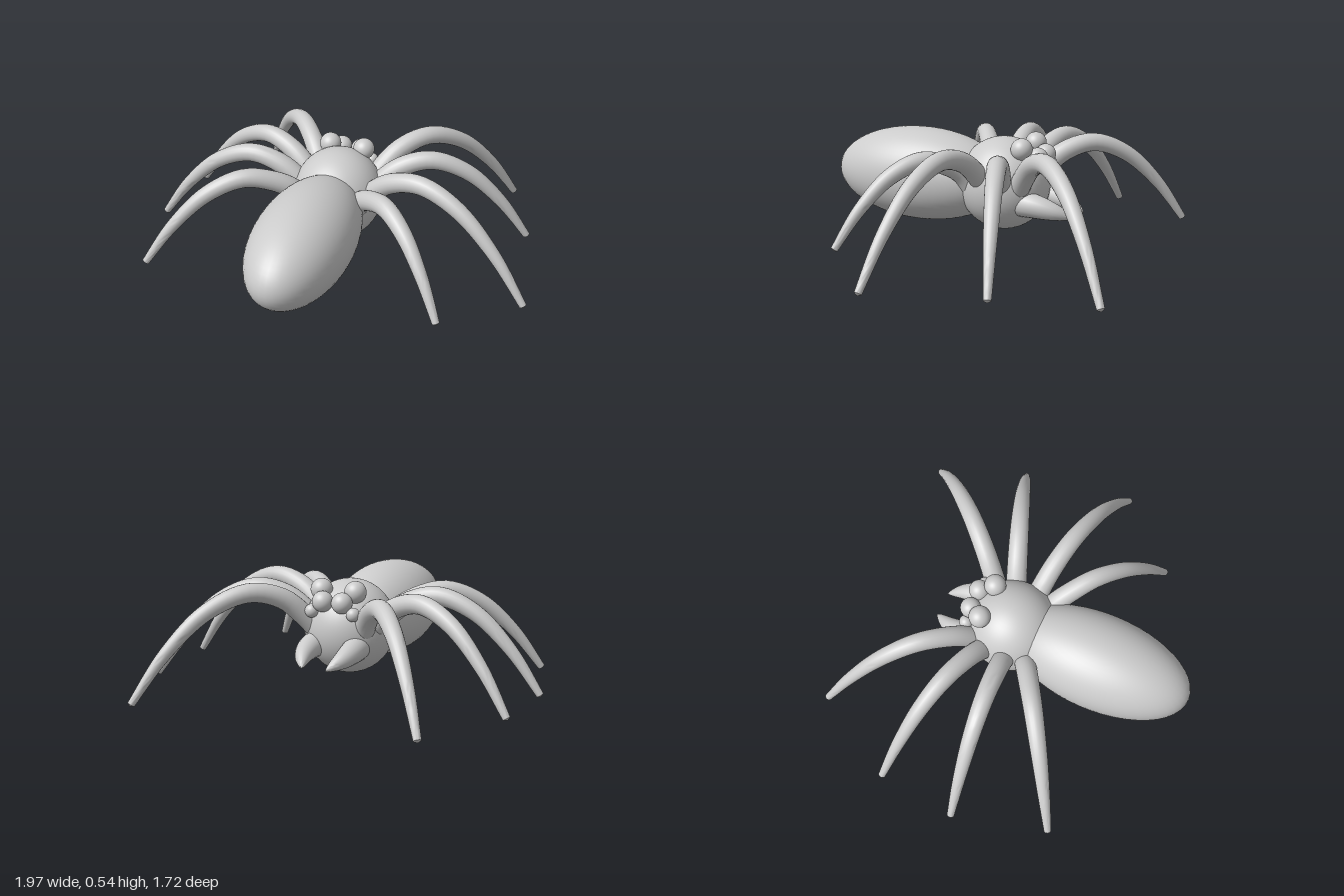
import * as THREE from 'three';
import { toCreasedNormals } from 'three/addons/utils/BufferGeometryUtils.js';

const CX = -0.04; // body axis
const grey = new THREE.MeshStandardMaterial({ color: 0xcccccc });

function ellipsoid(name, center, radii) {
  const mesh = new THREE.Mesh(new THREE.SphereGeometry(1, 48, 32), grey);
  mesh.name = name;
  mesh.position.set(...center);
  mesh.scale.set(...radii);
  return mesh;
}

// Tube along a curve whose radius follows radiusAt(u); the last ring closes the tip
function taperedTube(name, points, radiusAt, segments = 36, sides = 20) {
  const curve = new THREE.CatmullRomCurve3(points);
  const geo = new THREE.TubeGeometry(curve, segments, 1, sides, false);
  const pos = geo.attributes.position;
  const v = new THREE.Vector3();
  for (let i = 0; i <= segments; i++) {
    const c = curve.getPointAt(i / segments);
    const closing = i === segments;
    const r = closing ? 0 : radiusAt(i / (segments - 1));
    for (let j = 0; j <= sides; j++) {
      const k = i * (sides + 1) + j;
      v.fromBufferAttribute(pos, k).sub(c).multiplyScalar(r).add(c);
      // pull the closing ring back so the foot is nearly flat
      if (closing) v.lerp(curve.getPointAt((segments - 1) / segments), 0.7);
      pos.setXYZ(k, v.x, v.y, v.z);
    }
  }
  const mesh = new THREE.Mesh(toCreasedNormals(geo, 0.8), grey);
  mesh.name = name;
  return mesh;
}

// Arch of a leg: fraction of its reach, height
const ARCH = [[-0.1, 0.3], [0, 0.4], [0.13, 0.49], [0.32, 0.527], [0.55, 0.455], [0.78, 0.28], [1, 0.03]];

function leg(name, [bx, bz], [tx, tz], peak, foot) {
  const points = ARCH.map(([t, y], i) => {
    const h = i < 2 ? y : foot + (y - 0.03) * (peak - foot) / 0.497;
    return new THREE.Vector3(bx + (tx - bx) * t, h, bz + (tz - bz) * t);
  });
  return taperedTube(name, points, (u) => 0.052 - 0.034 * Math.pow(u, 1.7));
}

export function createModel() {
  const model = new THREE.Group();
  model.name = 'spider';

  // Body
  model.add(ellipsoid('abdomen', [CX, 0.335, 0.4], [0.236, 0.236, 0.468]));
  model.add(ellipsoid('headThorax', [CX, 0.333, -0.06], [0.222, 0.23, 0.23]));

  for (const [side, s] of [['left', 1], ['right', -1]]) {
    // Eyes: offset from the axis, height, depth, radius
    const eyes = new THREE.Group();
    eyes.name = side + 'Eyes';
    for (const [x, y, z, r] of [[0.088, 0.528, -0.19, 0.053], [0.05, 0.485, -0.258, 0.05], [0.108, 0.435, -0.258, 0.033]]) {
      eyes.add(ellipsoid('eye', [CX + s * x, y, z], [r, r, r]));
    }
    model.add(eyes);

    // Fangs
    const fang = [[0.1, 0.265, -0.18], [0.11, 0.262, -0.26], [0.1, 0.242, -0.36], [0.057, 0.205, -0.465]];
    model.add(taperedTube(side + 'Fang',
      fang.map(([x, y, z]) => new THREE.Vector3(CX + s * x, y, z)),
      (u) => 0.061 * Math.pow(Math.max(1 - u * u, 0), 0.8) + 0.002, 24));
  }

  // Legs: base xz, tip xz, arch height, foot height
  const legs = [
    ['leftLegOne', [0.12, -0.23], [0.72, -0.85], 0.53, 0.022],
    ['leftLegTwo', [0.16, -0.13], [0.88, -0.4], 0.515, 0.045],
    ['leftLegThree', [0.15, -0.005], [0.985, 0.175], 0.525, 0.02],
    ['leftLegFour', [0.13, 0.09], [0.645, 0.515], 0.48, 0.08],
    ['rightLegOne', [-0.2, -0.22], [-0.7, -0.805], 0.505, 0.05],
    ['rightLegTwo', [-0.24, -0.14], [-0.95, -0.37], 0.505, 0.05],
    ['rightLegThree', [-0.24, -0.02], [-0.99, 0.03], 0.505, 0.05],
    ['rightLegFour', [-0.22, 0.09], [-0.865, 0.5], 0.49, 0.055],
  ];
  for (const spec of legs) model.add(leg(...spec));

  return model;
}
